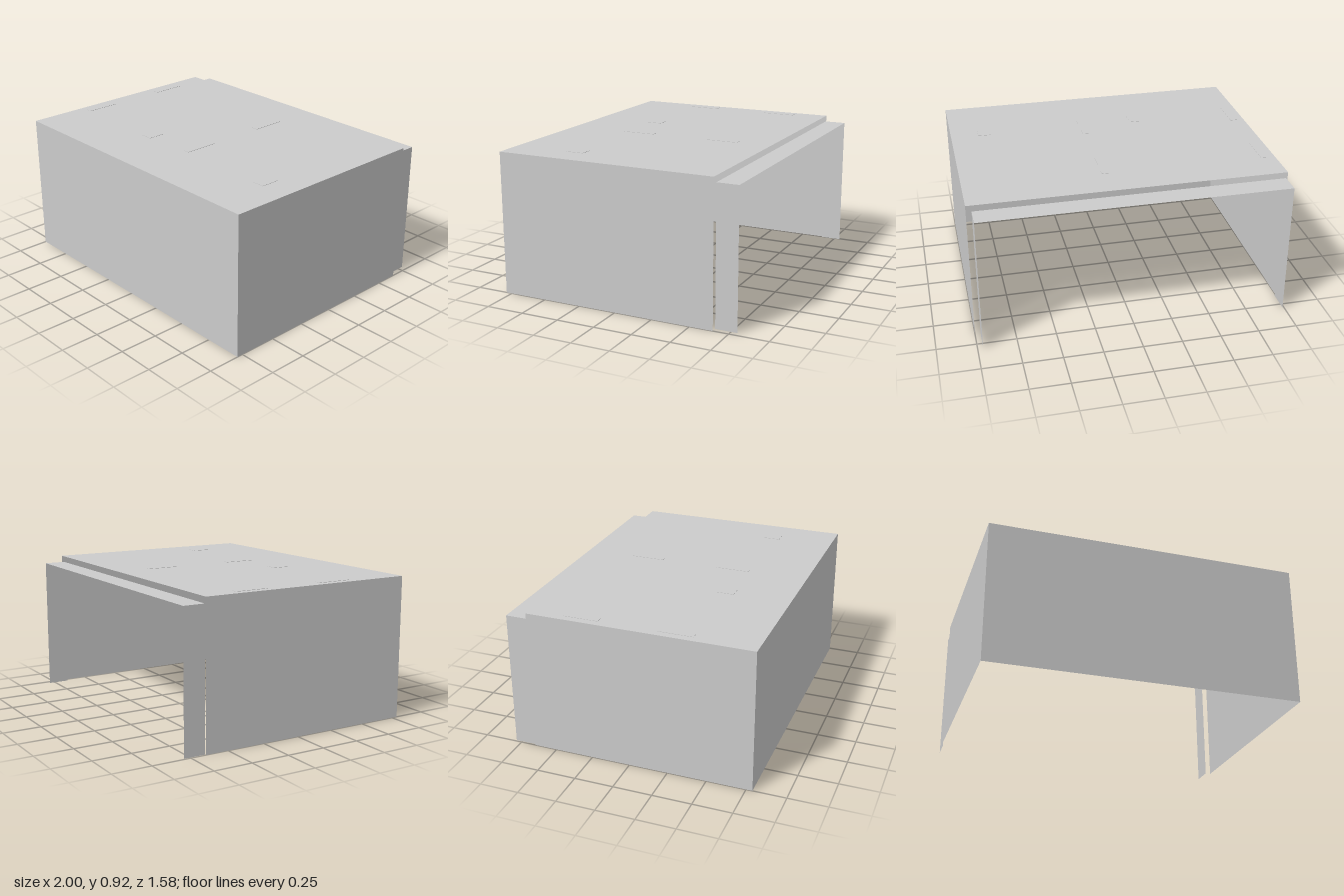
import * as THREE from 'three';

const WIDTH = 2, FRONT = 0.79, REAR = -0.65, BACK = -0.79, TOP = 0.92;

export function createModel() {
  const model = new THREE.Group();
  const material = new THREE.MeshStandardMaterial({ color: 0xcccccc, side: THREE.DoubleSide });

  const add = (parent, name, geometry, x, y, z) => {
    const mesh = new THREE.Mesh(geometry, material);
    mesh.name = name;
    mesh.position.set(x, y, z);
    parent.add(mesh);
  };

  // Three thin sheets forming an upside-down U, open below and at both ends
  const arch = (name, x0, x1, z0, z1, height) => {
    const group = new THREE.Group();
    group.name = name;
    const w = x1 - x0, d = z1 - z0, cx = (x0 + x1) / 2, cz = (z0 + z1) / 2;
    add(group, 'topPanel', new THREE.PlaneGeometry(w, d).rotateX(-Math.PI / 2), cx, height, cz);
    add(group, 'rightPanel', new THREE.PlaneGeometry(d, height).rotateY(-Math.PI / 2), x0, height / 2, cz);
    add(group, 'leftPanel', new THREE.PlaneGeometry(d, height).rotateY(Math.PI / 2), x1, height / 2, cz);
    model.add(group);
    return group;
  };

  // Main shell, closed at the front
  const shell = arch('shell', -WIDTH / 2, WIDTH / 2, REAR, FRONT, TOP);
  add(shell, 'frontPanel', new THREE.PlaneGeometry(WIDTH, TOP), 0, TOP / 2, FRONT);

  // Slightly smaller arch behind the shell, separated by a narrow gap
  arch('rearArch', -0.99, 0.965, BACK, REAR, 0.88);

  // Flush pads on both halves of the top: two long ones and a short one each
  const longPad = new THREE.BoxGeometry(0.045, 0.004, 0.22);
  const shortPad = new THREE.BoxGeometry(0.08, 0.004, 0.12);
  for (const x of [-0.93, 0.11]) {
    for (const z of [0.29, -0.31]) add(model, 'longPad', longPad, x, TOP, z);
    add(model, 'shortPad', shortPad, x + 0.67, TOP, 0.365);
  }
  return model;
}
